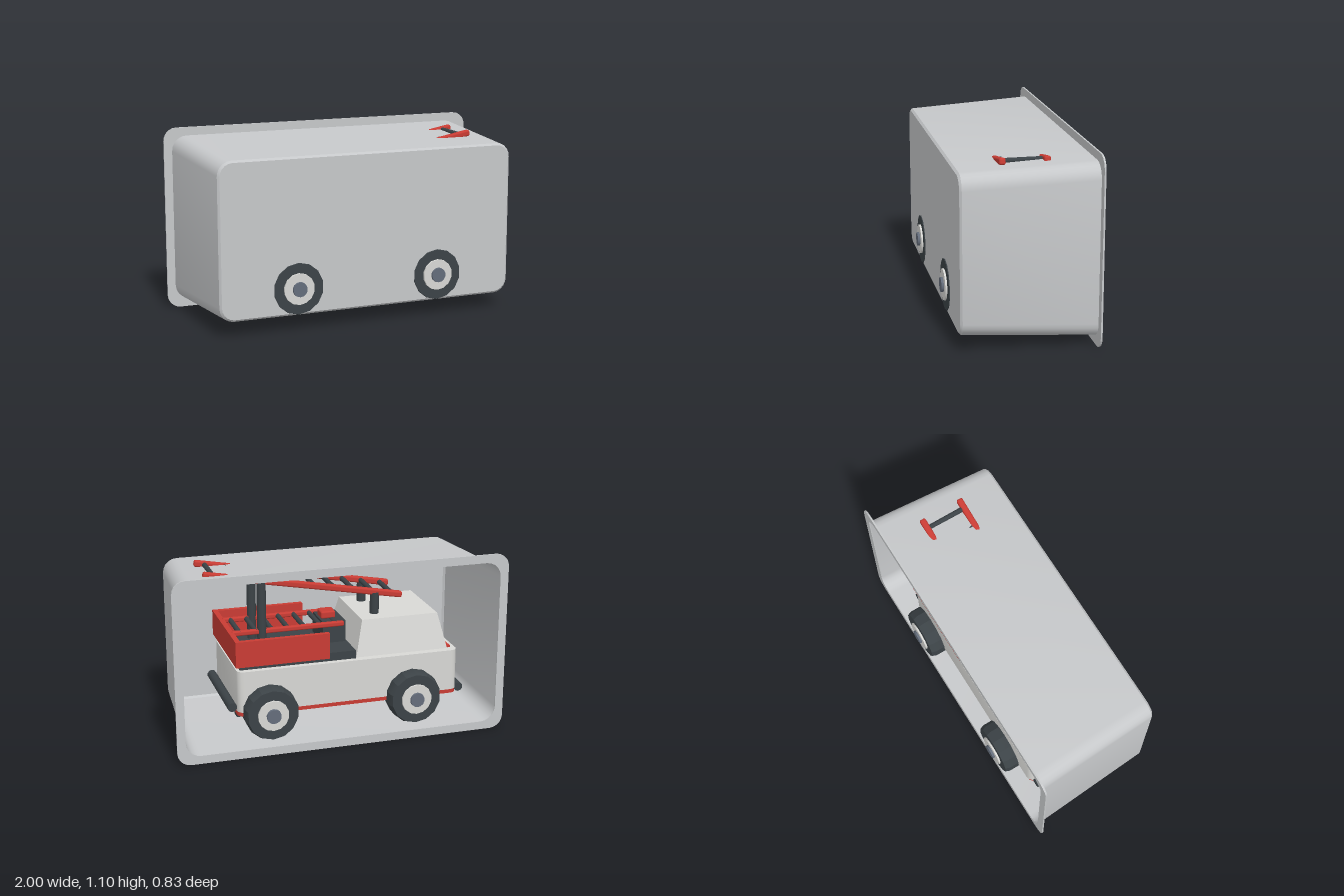
import * as THREE from 'three';
import { toCreasedNormals } from 'three/addons/utils/BufferGeometryUtils.js';
import { RoundedBoxGeometry } from 'three/addons/geometries/RoundedBoxGeometry.js';

const material = (name, color, side = THREE.FrontSide) => {
  const m = new THREE.MeshStandardMaterial({ color, side });
  m.name = name;
  return m;
};

// Rounded rectangle outline, counter-clockwise
function outline(hx, hy, cy, r, steps = 5) {
  const pts = [];
  [[1, 1], [-1, 1], [-1, -1], [1, -1]].forEach(([sx, sy], q) => {
    for (let i = 0; i <= steps; i++) {
      const a = (q + i / steps) * Math.PI / 2;
      pts.push(new THREE.Vector2(sx * (hx - r) + r * Math.cos(a), cy + sy * (hy - r) + r * Math.sin(a)));
    }
  });
  return pts;
}

// Tapered tray lofted from back to front and closed at the front
function trayGeometry() {
  const sections = [
    { z: -0.38, p: outline(0.95, 0.5, 0.55, 0.09) },
    { z: 0.375, p: outline(0.91, 0.458, 0.5525, 0.085) },
    { z: 0.387, p: outline(0.898, 0.446, 0.5525, 0.075) },
  ];
  const n = sections[0].p.length, pos = [], index = [];
  sections.forEach(({ z, p }) => p.forEach((v) => pos.push(v.x, v.y, z)));
  for (let s = 0; s < 2; s++) {
    for (let i = 0; i < n; i++) {
      const j = (i + 1) % n, a = s * n + i, b = s * n + j;
      index.push(a, b, b + n, a, b + n, a + n);
    }
  }
  pos.push(0, 0.5525, 0.387);
  for (let i = 0; i < n; i++) index.push(3 * n, 2 * n + i, 2 * n + (i + 1) % n);
  const g = new THREE.BufferGeometry();
  g.setAttribute('position', new THREE.Float32BufferAttribute(pos, 3));
  g.setIndex(index);
  return toCreasedNormals(g, 0.5);
}

// Box whose top is narrowed to the given x range and half depth
function taperedBox(x0, x1, y0, y1, hz, tx0, tx1, thz) {
  const g = new THREE.BoxGeometry(1, 1, 1).toNonIndexed();
  const p = g.attributes.position;
  for (let i = 0; i < p.count; i++) {
    const top = p.getY(i) > 0, front = p.getX(i) < 0;
    p.setXYZ(i, top ? (front ? tx0 : tx1) : (front ? x0 : x1), top ? y1 : y0, Math.sign(p.getZ(i)) * (top ? thz : hz));
  }
  g.computeVertexNormals();
  return g;
}

export function createModel() {
  const model = new THREE.Group();
  const shellGrey = material('shell grey', 0xc6c8ca, THREE.DoubleSide);
  const bodyWhite = material('body off-white', 0xd8d8d5);
  const red = material('red', 0xc93c34);
  const dark = material('dark rubber', 0x3c4347);
  const steel = material('hub steel', 0x646d7b);

  const add = (name, geometry, mat, x = 0, y = 0, z = 0, parent = model) => {
    const mesh = new THREE.Mesh(geometry, mat);
    mesh.name = name;
    mesh.position.set(x, y, z);
    parent.add(mesh);
    return mesh;
  };
  // Box given by its limits
  const box = (name, mat, x0, x1, y0, y1, z0, z1) =>
    add(name, new THREE.BoxGeometry(x1 - x0, y1 - y0, z1 - z0), mat, (x0 + x1) / 2, (y0 + y1) / 2, (z0 + z1) / 2);
  // Rod lying along z
  const rod = (name, mat, r, length, x, y, z = 0, parent = model) => {
    const mesh = add(name, new THREE.CylinderGeometry(r, r, length, 10), mat, x, y, z, parent);
    mesh.rotation.x = Math.PI / 2;
    return mesh;
  };

  // Display tray with a flange around its open back
  add('tray', trayGeometry(), shellGrey);
  const frame = new THREE.Shape(outline(1, 0.55, 0.55, 0.08));
  frame.holes.push(new THREE.Path(outline(0.95, 0.5, 0.55, 0.09).reverse()));
  add('trayFlange', new THREE.ExtrudeGeometry(frame, { depth: 0.01, bevelEnabled: false }), shellGrey, 0, 0, -0.387);

  // Truck hull with softened vertical corners
  const hull = (name, mat, x0, x1, y0, y1, hz) => {
    const shape = new THREE.Shape(outline((x1 - x0) / 2, hz, 0, 0.04, 3));
    const g = new THREE.ExtrudeGeometry(shape, { depth: y1 - y0, bevelEnabled: false });
    g.rotateX(-Math.PI / 2);
    add(name, toCreasedNormals(g, 0.7), mat, (x0 + x1) / 2, y0, 0);
  };
  hull('truckBody', bodyWhite, -0.73, 0.62, 0.25, 0.5, 0.305);
  hull('lowerTrim', red, -0.73, 0.62, 0.225, 0.25, 0.3);
  box('cabTrim', red, -0.7, -0.14, 0.5, 0.512, -0.25, 0.25);
  add('cab', taperedBox(-0.67, -0.1, 0.508, 0.72, 0.28, -0.62, -0.15, 0.23), bodyWhite);
  for (const s of [-1, 1]) box('frameRail', dark, -0.68, 0.6, 0.17, 0.225, s * 0.14 - 0.03, s * 0.14 + 0.03);
  rod('frontBumper', dark, 0.028, 0.56, -0.75, 0.25);
  rod('rearBumper', dark, 0.028, 0.56, 0.65, 0.28);

  // Open cargo bed
  box('bedFloor', dark, -0.1, 0.6, 0.5, 0.55, -0.27, 0.27);
  for (const s of [-1, 1]) box('bedSide', red, 0.07, 0.63, 0.53, 0.685, s * 0.295 - 0.015, s * 0.295 + 0.015);
  box('bedTail', red, 0.6, 0.63, 0.53, 0.685, -0.28, 0.28);
  box('equipmentBlock', dark, -0.09, 0.05, 0.55, 0.68, -0.1, 0.12);
  add('equipmentLid', new RoundedBoxGeometry(0.09, 0.045, 0.09, 2, 0.01), red, 0, 0.705, 0);

  // Ladder: two rails joined by evenly spaced rungs
  const ladder = (name, length, rungs, rail) => {
    const g = new THREE.Group();
    g.name = name;
    for (const z of [-0.125, 0.125]) add('ladderRail', new RoundedBoxGeometry(length, rail, rail, 2, rail * 0.3), red, 0, 0, z, g);
    for (let i = 0; i < rungs; i++) rod('ladderRung', dark, 0.015, 0.27, ((i + 0.5) / rungs - 0.5) * length, 0, 0, g);
    model.add(g);
    return g;
  };
  ladder('lowerLadder', 0.68, 7, 0.03).position.set(0.27, 0.675, 0);
  const raised = ladder('raisedLadder', 1.22, 10, 0.038);
  raised.position.set(0.17, 0.933, 0);
  raised.rotation.z = Math.atan(0.186);

  // Posts carrying the raised ladder
  for (const z of [-0.125, 0.125]) {
    add('rearPost', new THREE.CylinderGeometry(0.027, 0.027, 0.44, 10), dark, 0.43, 0.765, z);
    add('cabPost', new THREE.CylinderGeometry(0.027, 0.027, 0.14, 10), dark, -0.26, 0.78, z);
  }

  // Wheels and axles
  const tyre = new THREE.LatheGeometry(
    [[0, -0.072], [0.135, -0.072], [0.152, -0.066], [0.16, -0.045], [0.16, 0.045], [0.152, 0.066], [0.15, 0.072], [0, 0.072]]
      .map(([r, y]) => new THREE.Vector2(r, y)), 14);
  const tyreGeometry = toCreasedNormals(tyre, 0.4);
  for (const x of [-0.44, 0.435]) {
    rod('axle', dark, 0.03, 0.6, x, 0.25);
    for (const s of [-1, 1]) {
      const wheel = new THREE.Group();
      wheel.name = 'wheel';
      wheel.position.set(x, 0.25, s * 0.32);
      wheel.rotation.x = s * Math.PI / 2;
      add('tyre', tyreGeometry, dark, 0, 0, 0, wheel);
      add('rim', new THREE.CylinderGeometry(0.092, 0.095, 0.04, 14), bodyWhite, 0, 0.063, 0, wheel);
      add('hub', new THREE.CylinderGeometry(0.043, 0.046, 0.04, 14), steel, 0, 0.077, 0, wheel);
      model.add(wheel);
    }
  }
  return model;
}
